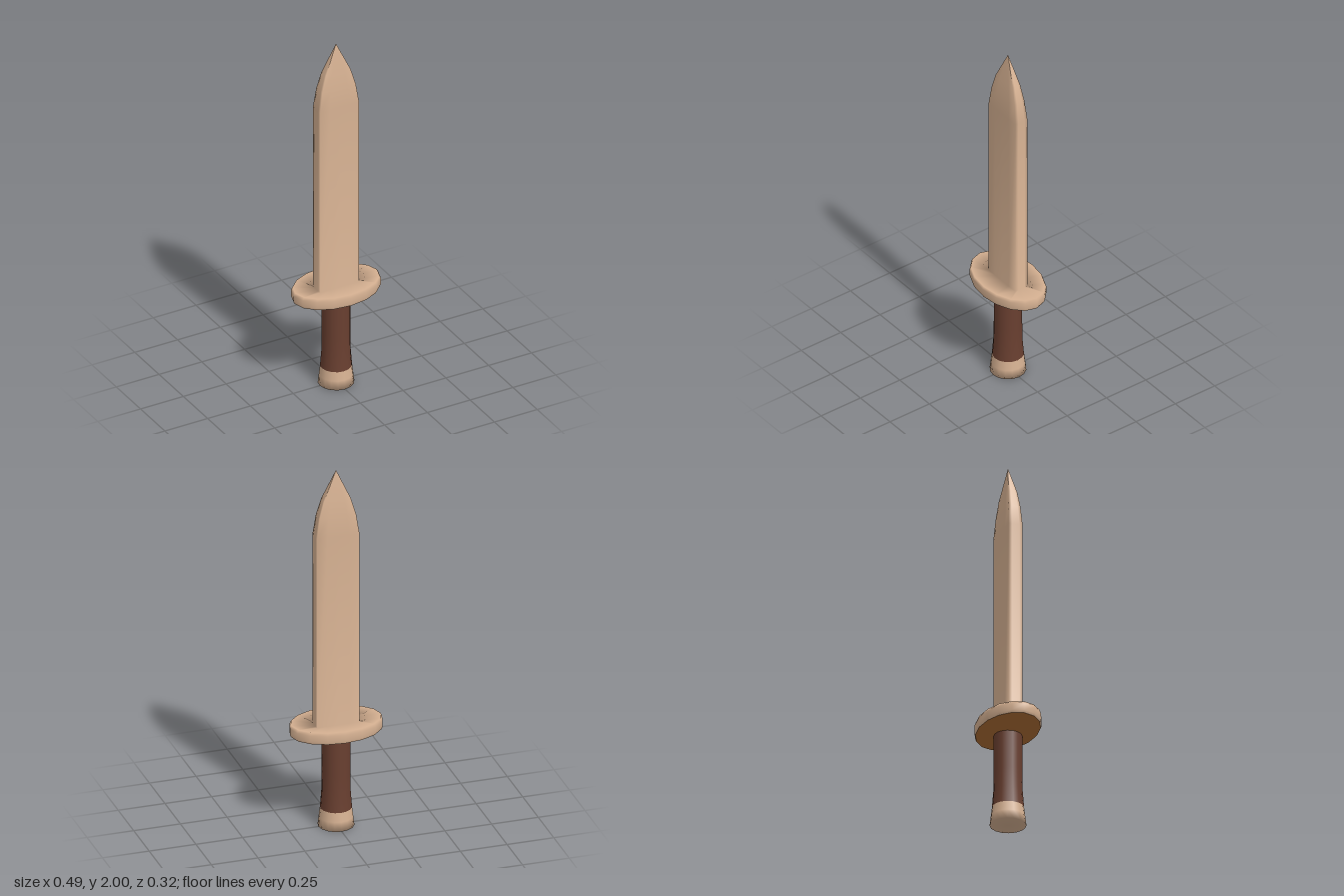
import * as THREE from 'three';

const SIDES = 16;
const wood = new THREE.MeshStandardMaterial({ name: 'paleWood', color: 0xd6b192 });
const leather = new THREE.MeshStandardMaterial({ name: 'brownGrip', color: 0x693f30 });
const amber = new THREE.MeshStandardMaterial({ name: 'amberUnderside', color: 0xae6d34 });

// One quarter of the blade section: slightly bulged rectangle, as fractions of half width and depth
const QUARTER = [[1, 0], [0.995, 0.5], [0.985, 0.95], [0.5, 0.985], [0, 1]];

function sectionPoint(shape, i) {
  const k = i % SIDES;
  if (shape === 'oval') {
    const a = (k / SIDES) * Math.PI * 2;
    return [Math.cos(a), Math.sin(a)];
  }
  const q = Math.floor(k / 4);
  const r = k % 4;
  const [x, z] = QUARTER[q % 2 ? 4 - r : r];
  return [q === 1 || q === 2 ? -x : x, q >= 2 ? -z : z];
}

// Smooth skin through rings [shape, halfWidth, halfDepth, y], listed bottom to top
function loft(rings) {
  const pos = [];
  const index = [];
  rings.forEach(([shape, w, d, y], r) => {
    for (let i = 0; i < SIDES; i++) {
      const [x, z] = sectionPoint(shape, i);
      pos.push(x * w, y, z * d);
      if (r === rings.length - 1) continue;
      const a = r * SIDES + i;
      const b = r * SIDES + (i + 1) % SIDES;
      index.push(a, a + SIDES, b);
      if (rings[r + 1][1] > 0) index.push(b, a + SIDES, b + SIDES);
    }
  });
  const geo = new THREE.BufferGeometry();
  geo.setAttribute('position', new THREE.Float32BufferAttribute(pos, 3));
  geo.setIndex(index);
  geo.computeVertexNormals();
  return geo;
}

function lathe(points) {
  return new THREE.LatheGeometry(points.map(([r, y]) => new THREE.Vector2(r, y)), SIDES);
}

export function createModel() {
  const group = new THREE.Group();
  group.name = 'shortSword';
  const add = (name, geometry, material) => {
    const mesh = new THREE.Mesh(geometry, material);
    mesh.name = name;
    group.add(mesh);
  };

  // Handle: flared pommel and straight grip
  add('pommel', lathe([[0, 0], [0.094, 0], [0.088, 0.05], [0.082, 0.1]]), wood);
  add('grip', lathe([[0.082, 0.1], [0.075, 0.19], [0.073, 0.3], [0.073, 0.51]]), leather);

  // Shallow cone under the guard
  add('guardUnderside', loft([
    ['oval', 0.07, 0.07, 0.5],
    ['oval', 0.1, 0.09, 0.503],
    ['oval', 0.24, 0.155, 0.527],
  ]), amber);

  // Oval guard flowing into the blade and up to its point
  add('guardAndBlade', loft([
    ['oval', 0.24, 0.155, 0.527],
    ['oval', 0.247, 0.16, 0.54],
    ['oval', 0.247, 0.16, 0.575],
    ['oval', 0.239, 0.154, 0.591],
    ['blade', 0.115, 0.04, 0.577],
    ['blade', 0.115, 0.04, 1.64],
    ['blade', 0.099, 0.033, 1.75],
    ['blade', 0.073, 0.025, 1.84],
    ['blade', 0, 0, 2],
  ]), wood);

  return group;
}
